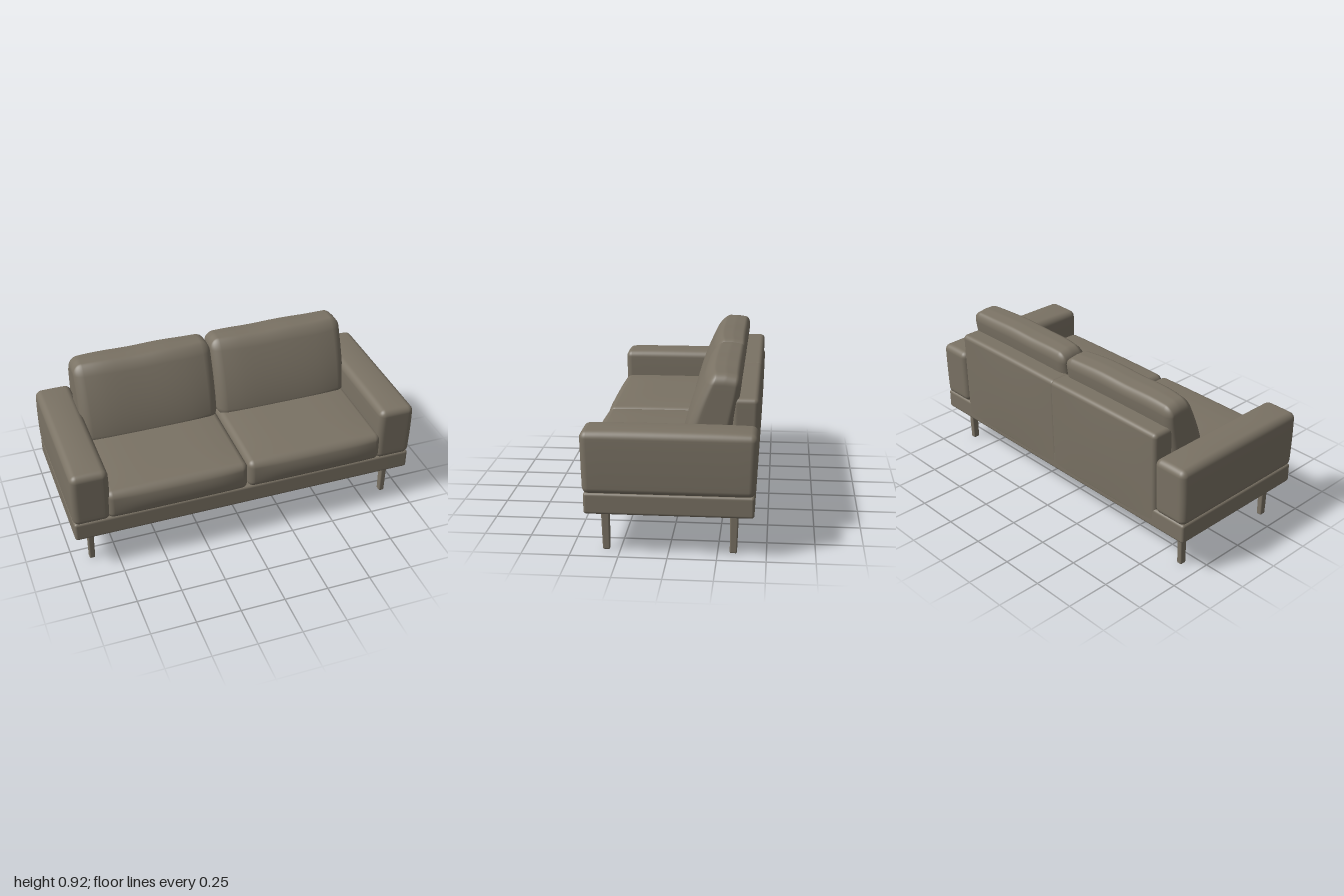
import * as THREE from 'three';
import { mergeVertices } from 'three/addons/utils/BufferGeometryUtils.js';

const fabric = new THREE.MeshStandardMaterial({ color: 0x7a7264 });
fabric.name = 'taupe fabric';

// Smooth upholstered box: min and max corners, edge radius, optional rule that reshapes each vertex.
// The rule gets the point and its position within the box, from -1 to 1 on each axis.
function softBox(name, min, max, radius, rule) {
  const edge = 5, flat = 12, n = edge * 2 + flat;
  const lo = new THREE.Vector3(...min), hi = new THREE.Vector3(...max);
  const centre = lo.clone().add(hi).multiplyScalar(0.5);
  const half = hi.clone().sub(lo).multiplyScalar(0.5);
  const inner = half.clone().subScalar(radius);
  const geo = new THREE.BoxGeometry(2, 2, 2, n, n, n);
  geo.deleteAttribute('uv');
  geo.deleteAttribute('normal');
  const pos = geo.attributes.position;
  const p = new THREE.Vector3(), q = new THREE.Vector3(), t = new THREE.Vector3();

  // Crowd the grid lines into the rounded edges
  const spread = (v, h) => {
    const i = Math.round((v + 1) * n / 2);
    const k = Math.min(i, n - i);
    if (k >= edge) return (h - radius) * ((i - edge) / flat * 2 - 1);
    const d = h - radius + radius * Math.tan((1 - k / edge) * Math.PI / 4);
    return i < n / 2 ? -d : d;
  };

  for (let i = 0; i < pos.count; i++) {
    p.fromBufferAttribute(pos, i);
    p.set(spread(p.x, half.x), spread(p.y, half.y), spread(p.z, half.z));
    q.copy(p).clamp(inner.clone().negate(), inner);
    p.sub(q).setLength(radius).add(q);
    t.copy(p).divide(half);
    p.add(centre);
    if (rule) rule(p, t);
    pos.setXYZ(i, p.x, p.y, p.z);
  }
  const smooth = mergeVertices(geo, 1e-5);
  smooth.computeVertexNormals();
  const mesh = new THREE.Mesh(smooth, fabric);
  mesh.name = name;
  return mesh;
}

const dome = (a) => 1 - a * a;

export function createModel() {
  const sofa = new THREE.Group();
  sofa.name = 'sofa';

  // Low plinth carrying everything
  sofa.add(softBox('base', [-0.99, 0.222, -0.437], [0.99, 0.335, 0.425], 0.015));

  for (const side of [1, -1]) {
    const label = side > 0 ? 'left' : 'right';
    // Signed x range for this half of the sofa
    const box = (name, x0, x1, y0, y1, z0, z1, r, rule) => sofa.add(softBox(
      label + name,
      [side > 0 ? x0 : -x1, y0, z0], [side > 0 ? x1 : -x0, y1, z1], r, rule));

    // Arm: domed top, sides drawn in toward the bottom
    box('Arm', 0.787, 0.992, 0.325, 0.655, -0.447, 0.438, 0.036, (p, t) => {
      const up = (t.y + 1) / 2;
      p.y += 0.01 * up * dome(t.x) * dome(t.z * t.z);
      p.x += t.x * 0.004 * dome(t.y);
      p.z += t.z * (0.009 * up - 0.006);
    });

    // Back panel: the two halves meet in a fine seam
    box('BackPanel', -0.015, 0.79, 0.235, 0.787, -0.447, -0.312, 0.025, (p, t) => {
      if (t.z < 0) p.z += 0.006 * (1 - t.y) * 0.9 - 0.006 * dome(t.y) * dome(t.x);
      p.y += t.y > 0 ? 0.004 * dome(t.x) : 0;
    });

    // Seat cushion: crowned top and full front
    box('SeatCushion', 0.001, 0.803, 0.33, 0.5, -0.32, 0.437, 0.036, (p, t) => {
      if (t.y > 0) p.y += 0.016 * t.y * dome(t.x * t.x) * dome(t.z * t.z);
      if (t.z > 0) p.z += t.z * 0.018 * dome(t.y) * dome(t.x * t.x);
    });

    // Back cushion: thick at the foot, leaning and narrowing to a rounded top
    box('BackCushion', 0.002, 0.803, 0.47, 0.91, -0.3, 0, 0.055, (p, t) => {
      const u = (t.y + 1) / 2;
      const front = -0.035 - 0.15 * Math.pow(u, 1.6) - 0.03 * Math.pow(t.x, 4);
      const rear = -0.3 - 0.057 * u * u * (3 - 2 * u);
      p.z = rear + (front - rear) * (t.z + 1) / 2;
      p.y += u * u * (0.007 * dome(t.x * t.x) - 0.012 * Math.max(0, -t.z));
      p.y += 0.002 * u * Math.sin(p.x * 17);
    });

    // Legs: slim, tapering from the outer edge
    for (const [end, z] of [['Front', 0.327], ['Rear', -0.335]]) {
      box(end + 'Leg', 0.874, 0.909, 0, 0.24, z - 0.0225, z + 0.0225, 0.008, (p, t) => {
        const taper = (1 - t.y) / 2;
        p.z -= 0.004 * taper * (t.z + Math.sign(z));
        p.x -= 0.002 * taper * t.x;
      });
    }
  }
  return sofa;
}
